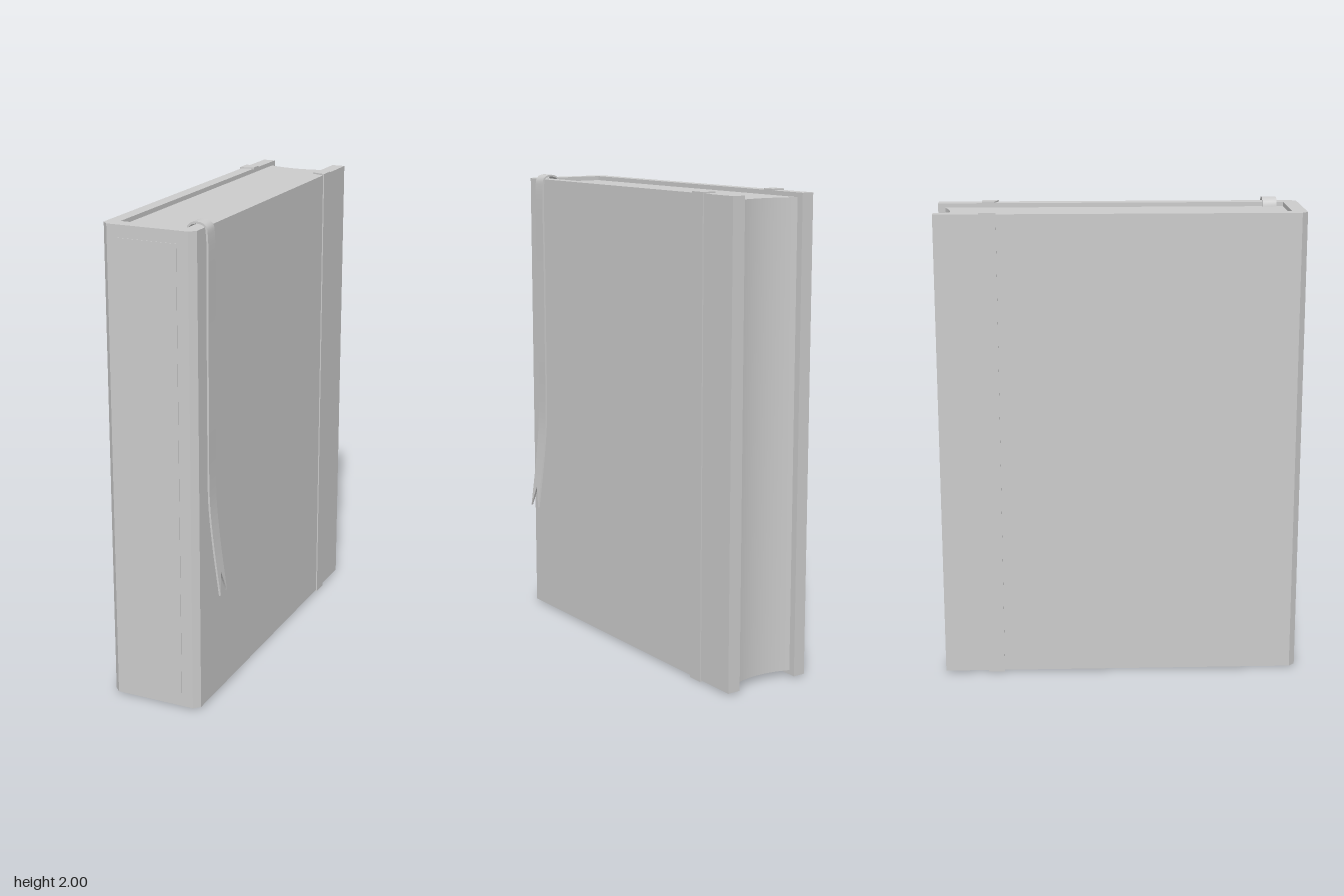
import * as THREE from 'three';
import { toCreasedNormals } from 'three/addons/utils/BufferGeometryUtils.js';

export function createModel() {
  const group = new THREE.Group();
  const material = new THREE.MeshStandardMaterial({ color: 0xcccccc });
  const add = (name, geometry, x = 0, y = 0, z = 0) => {
    const mesh = new THREE.Mesh(geometry, material);
    mesh.name = name;
    mesh.position.set(x, y, z);
    group.add(mesh);
    return mesh;
  };
  // Raises a floor plan (drawn with y = -z) from height y0 to y1
  const raise = (shape, y0, y1) => {
    const g = new THREE.ExtrudeGeometry(shape, { depth: y1 - y0, bevelEnabled: false, curveSegments: 20 });
    g.rotateX(-Math.PI / 2).translate(0, y0, 0);
    return toCreasedNormals(g, 0.5);
  };
  const L = -0.225, R = 0.167, MID = (L + R) / 2;
  const inL = -0.172, inR = 0.11, bottom = 0.01, top = 1.98;

  // Cover: two boards joined by a spine with chamfered corners
  const plan = [
    [L, 0.755], [L, -0.73], [L + 0.025, -0.755], [R - 0.025, -0.755], [R, -0.73], [R, 0.755],
    [inR, 0.755], [inR, -0.695], [inL, -0.695], [inL, 0.755],
  ];
  add('cover', raise(new THREE.Shape(plan.map(([x, y]) => new THREE.Vector2(x, y))), bottom, top));

  // Page block, slightly shorter than the cover, with a hollow fore-edge
  const pages = new THREE.Shape();
  pages.moveTo(inL, -0.695);
  pages.lineTo(inR, -0.695);
  pages.lineTo(inR, 0.725);
  pages.quadraticCurveTo((inL + inR) / 2, 0.67, inL, 0.725);
  pages.closePath();
  add('pages', raise(pages, bottom + 0.018, top - 0.018));

  // Thin panel on the spine
  add('spinePanel', new THREE.BoxGeometry(0.245, 1.87, 0.006), MID, 0.995, 0.7545);

  // Elastic band: a strip down each board, with tapered tabs over its ends
  const bandZ = -0.537, bandW = 0.07;
  for (const side of [-1, 1]) {
    const name = side > 0 ? 'left' : 'right';
    const face = side > 0 ? R : L;
    add(name + 'BandStrip', new THREE.BoxGeometry(0.01, top - bottom + 0.012, bandW), face, 0.995, bandZ);
    for (const y of [bottom, top]) {
      const tab = new THREE.BoxGeometry(0.055, 0.012, bandW);
      const p = tab.attributes.position;
      for (let i = 0; i < p.count; i++) {
        if (p.getX(i) * side < 0 && p.getZ(i) > 0) p.setZ(i, bandW / 2 - 0.018);
      }
      tab.computeVertexNormals();
      add(name + (y === top ? 'BandTopTab' : 'BandBottomTab'), tab, face - side * 0.0275, y, bandZ);
    }
  }

  // Ribbon bookmark: a thin strip bent along a path, its end cut to a V
  const path = new THREE.CatmullRomCurve3([
    [0.093, 1.955], [0.1, 1.982], [0.122, 1.994], [0.15, 1.994], [0.17, 1.983], [0.176, 1.95],
    [0.176, 1.6], [0.176, 1.2], [0.176, 0.95], [0.18, 0.85], [0.195, 0.7], [0.223, 0.49],
  ].map(([x, y]) => new THREE.Vector3(x, y, 0)), false, 'centripetal');
  path.arcLengthDivisions = 600;
  const ribbon = new THREE.BoxGeometry(0.06, 1, 0.008, 2, 120, 1);
  const p = ribbon.attributes.position;
  const notch = 1 - 0.09 / path.getLength();
  for (let i = 0; i < p.count; i++) {
    const w = p.getX(i), d = p.getZ(i);
    let t = THREE.MathUtils.clamp(0.5 - p.getY(i), 0, 1);
    if (Math.abs(w) < 0.001) t = Math.min(t, notch);
    const c = path.getPointAt(t), dir = path.getTangentAt(t);
    p.setXYZ(i, c.x - dir.y * d, c.y + dir.x * d, 0.636 - w);
  }
  ribbon.computeVertexNormals();
  add('ribbonBookmark', ribbon);

  return group;
}
